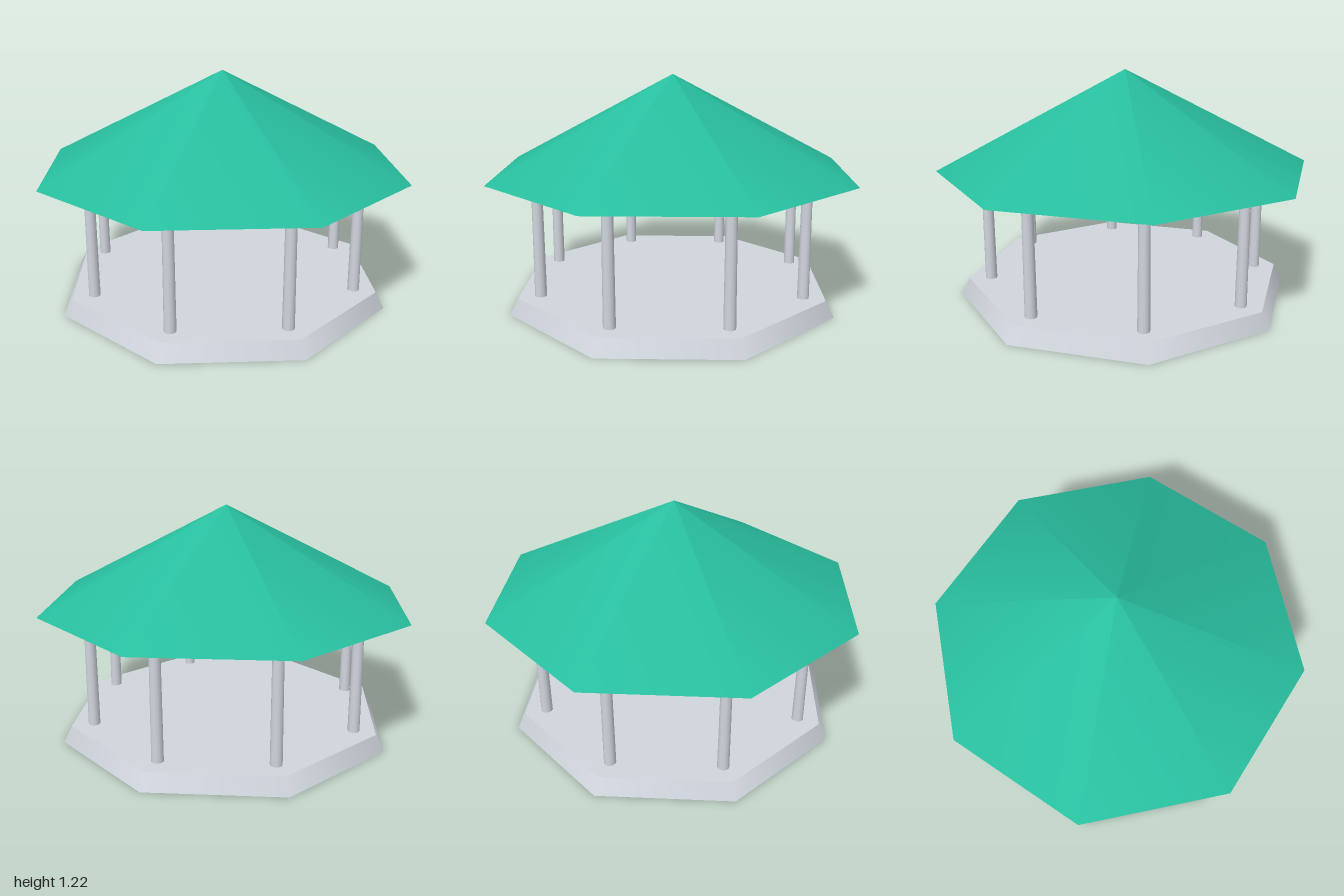
import * as THREE from 'three';

const SIDES = 8;
const BASE_H = 0.085, EAVE_Y = 0.695, PEAK_Y = 1.215;
const POST_RING = 0.74;

export function createModel() {
  const model = new THREE.Group();
  model.name = 'gazebo';

  const stone = new THREE.MeshStandardMaterial({ color: 0xd0d5dd });
  stone.name = 'pale grey stone';
  const green = new THREE.MeshStandardMaterial({ color: 0x28bd9e });
  green.name = 'teal green roof';

  const add = (name, geometry, material, x, y, z, parent = model) => {
    const mesh = new THREE.Mesh(geometry, material);
    mesh.name = name;
    mesh.position.set(x, y, z);
    parent.add(mesh);
  };

  // Octagonal platform with sloping sides
  add('platform', new THREE.CylinderGeometry(0.86, 0.905, BASE_H, SIDES), stone, 0, BASE_H / 2, 0);

  // Ring of slightly tapered posts, one under each corner
  const posts = new THREE.Group();
  posts.name = 'posts';
  model.add(posts);
  const postH = EAVE_Y - BASE_H;
  const postGeometry = new THREE.CylinderGeometry(0.028, 0.031, postH, 12);
  for (let i = 0; i < SIDES; i++) {
    const a = (i / SIDES) * Math.PI * 2;
    add(`post${i + 1}`, postGeometry, stone,
      Math.sin(a) * POST_RING, BASE_H + postH / 2, Math.cos(a) * POST_RING, posts);
  }

  // Pointed eight-sided roof, closed underneath
  const roofH = PEAK_Y - EAVE_Y;
  add('roof', new THREE.ConeGeometry(1, roofH, SIDES), green, 0, EAVE_Y + roofH / 2, 0);

  return model;
}
